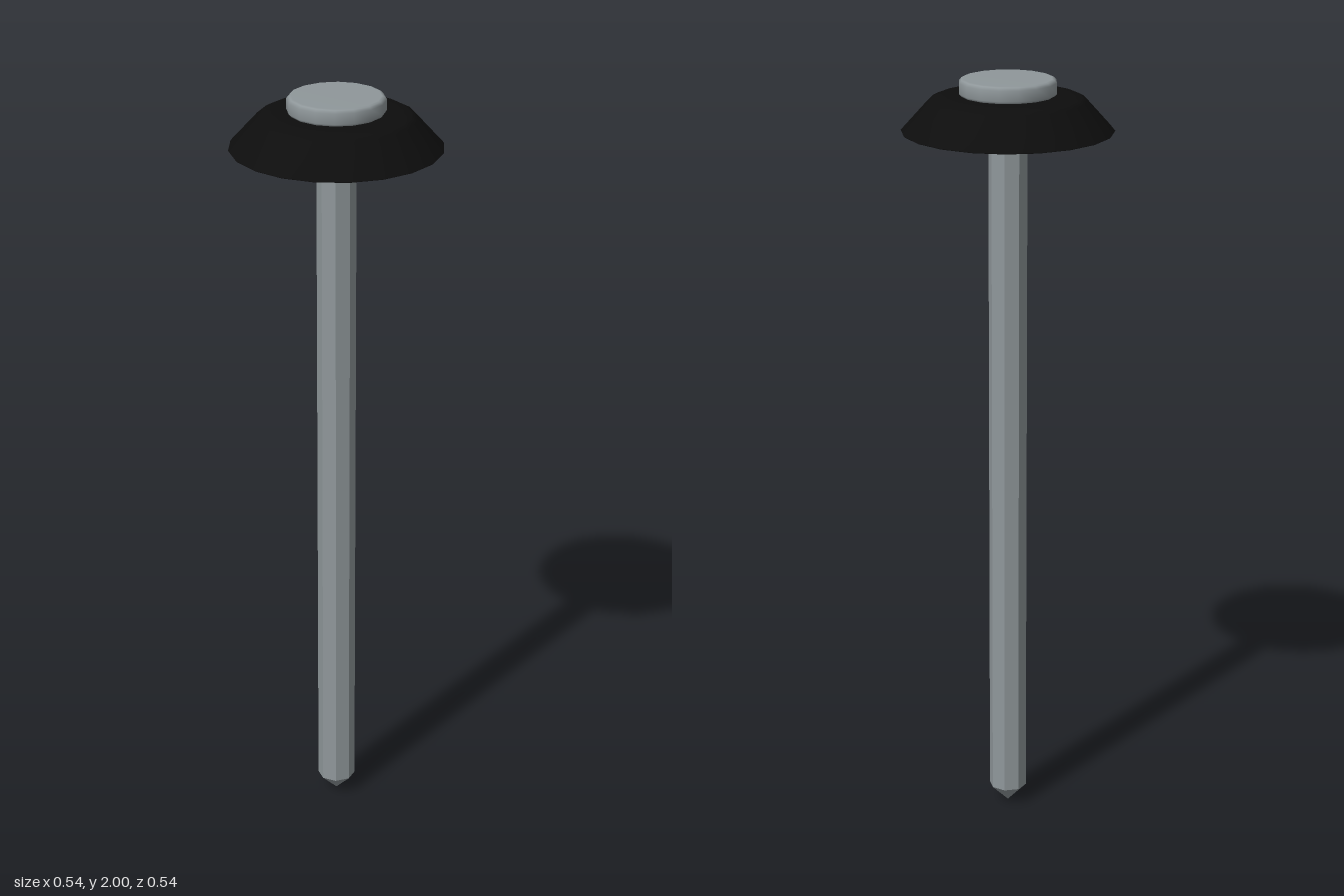
import * as THREE from 'three';

// Turn a closed profile of [radius, height] pairs, listed from bottom to top
function turned(name, profile, sides, material) {
  const points = profile.map(([r, y]) => new THREE.Vector2(r, y));
  const mesh = new THREE.Mesh(new THREE.LatheGeometry(points, sides), material);
  mesh.name = name;
  return mesh;
}

export function createModel() {
  const steel = new THREE.MeshStandardMaterial({ color: 0x8f979a });
  steel.name = 'steel grey';
  const steelFlat = steel;
  const rubber = new THREE.MeshStandardMaterial({ color: 0x0d0d0d });
  rubber.name = 'rubber black';

  const group = new THREE.Group();
  group.name = 'washerNail';

  // Eight-sided shank with hard edges
  const shankGeometry = new THREE.CylinderGeometry(0.05, 0.05, 1.85, 8).toNonIndexed();
  shankGeometry.computeVertexNormals();
  const shank = new THREE.Mesh(shankGeometry, steelFlat);
  shank.name = 'shank';
  shank.position.y = 0.05 + 1.85 / 2;
  group.add(shank);

  // Pointed tip
  const tipGeometry = new THREE.ConeGeometry(0.05, 0.05, 8, 1, true).toNonIndexed();
  tipGeometry.computeVertexNormals();
  const tip = new THREE.Mesh(tipGeometry, steel);
  tip.name = 'tip';
  tip.rotation.x = Math.PI;
  tip.position.y = 0.025;
  group.add(tip);

  // Sealing washer: flat underside, flared wall, softened upper edge
  group.add(turned('washer', [
    [0, 1.866], [0.267, 1.866], [0.269, 1.868], [0.2, 1.944], [0.185, 1.952], [0.15, 1.958], [0, 1.958],
  ], 20, rubber));

  // Round head with a small bevel at both rims
  group.add(turned('head', [
    [0, 1.955], [0.118, 1.957], [0.124, 1.964], [0.124, 1.991], [0.118, 1.998], [0.112, 2], [0, 2],
  ], 16, steel));

  return group;
}
